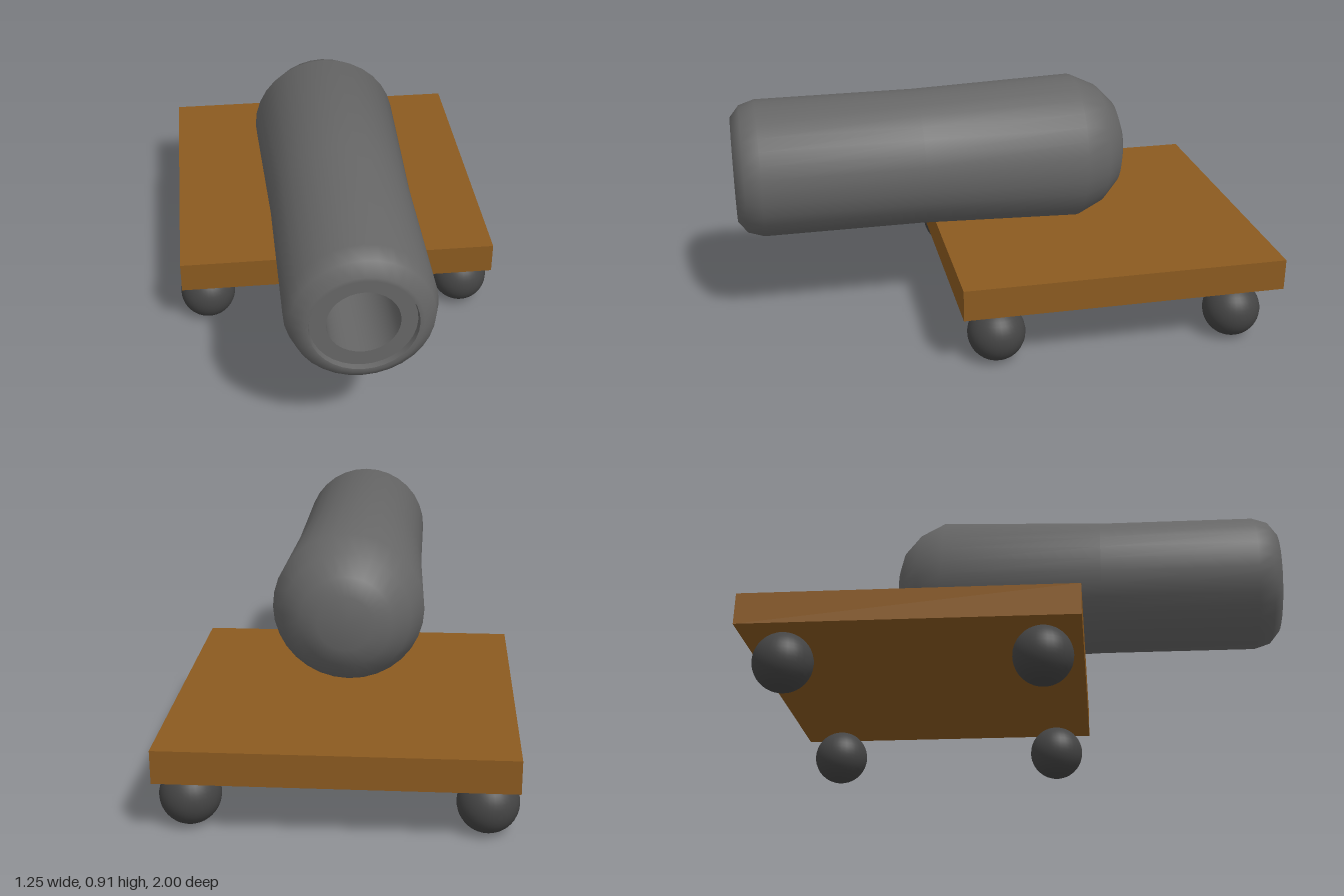
import * as THREE from 'three';
import { toCreasedNormals } from 'three/addons/utils/BufferGeometryUtils.js';

export function createModel() {
  const model = new THREE.Group();
  const add = (name, geometry, color, x, y, z) => {
    const mesh = new THREE.Mesh(geometry, new THREE.MeshStandardMaterial({ color }));
    mesh.name = name;
    mesh.position.set(x, y, z);
    model.add(mesh);
  };

  // Barrel: [radius, z] from the rounded breech to the muzzle, then down the bore
  const profile = [
    [0, -0.51], [0.1, -0.51], [0.168, -0.485], [0.235, -0.42], [0.282, -0.32],
    [0.262, 0.3], [0.262, 0.905], [0.243, 0.965], [0.2, 1], [0.185, 1],
    [0.181, 0.98], [0.125, 0.98], [0.125, 0.6], [0, 0.6],
  ].map(([r, z]) => new THREE.Vector2(r, z));
  const barrel = new THREE.LatheGeometry(profile, 32);
  barrel.rotateX(Math.PI / 2);
  add('barrel', toCreasedNormals(barrel, 0.9), 0x666666, 0, 0.627, 0);

  // Flat wooden carriage
  add('carriageBoard', new THREE.BoxGeometry(1.23, 0.12, 1.23), 0x8b5a20, 0, 0.28, -0.385);

  // Ball wheels at the four corners
  for (const [side, x] of [['left', 0.516], ['right', -0.516]]) {
    for (const [end, z] of [['Front', 0.09], ['Back', -0.836]]) {
      add(side + end + 'Wheel', new THREE.SphereGeometry(0.109, 32, 20), 0x444444, x, 0.109, z);
    }
  }
  return model;
}
